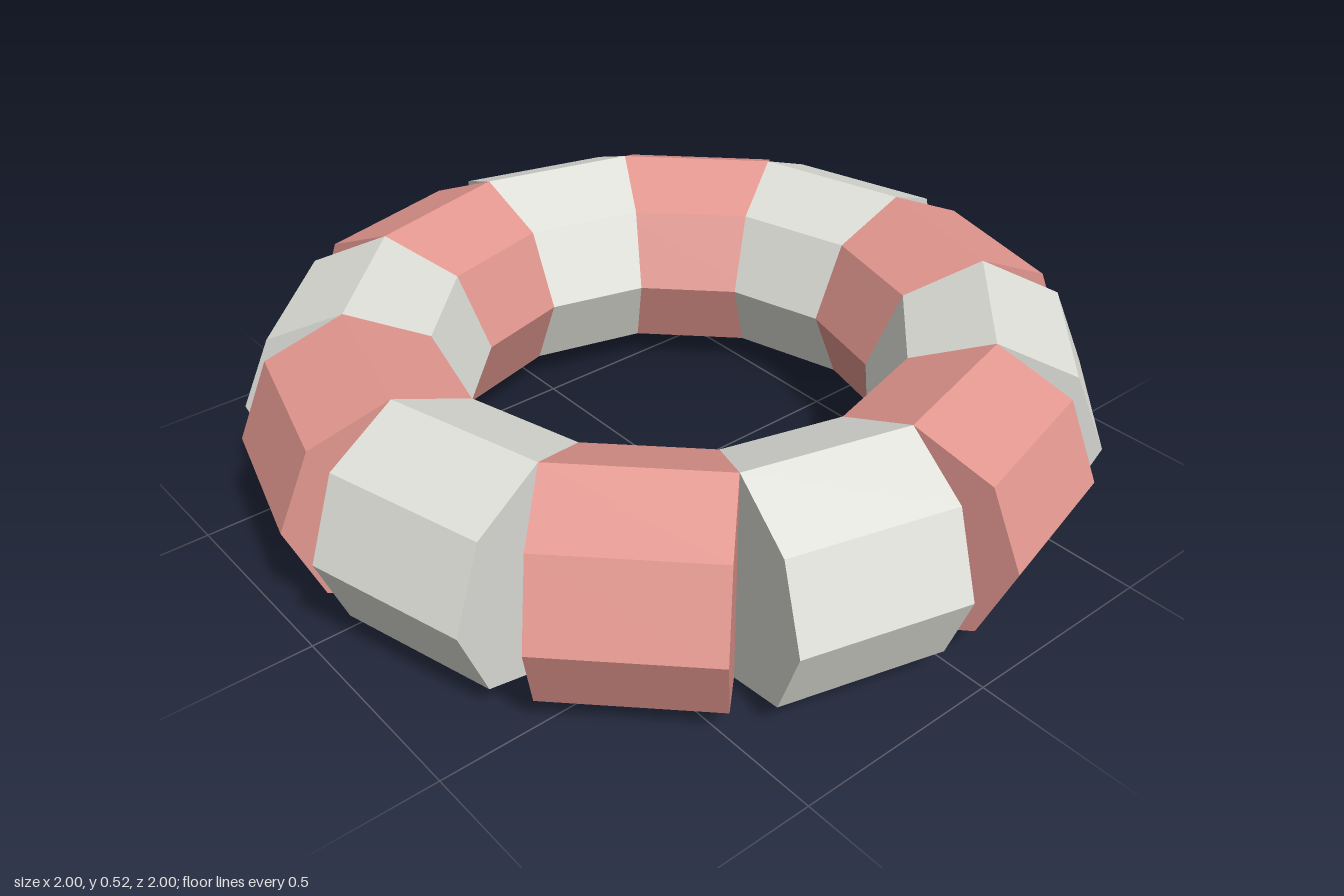
import * as THREE from 'three';

const COUNT = 12;
const TUBE_RADIUS = 0.261;
const RING_RADIUS = 0.723;
const SEGMENT_LENGTH = 2 * RING_RADIUS * Math.tan(Math.PI / COUNT);

export function createModel() {
  const model = new THREE.Group();
  model.name = 'ringFloat';

  const red = new THREE.MeshStandardMaterial({ color: 0xe2978f, flatShading: true });
  red.name = 'faded red';
  const white = new THREE.MeshStandardMaterial({ color: 0xdedfd8, flatShading: true });
  white.name = 'off white';

  // Straight eight-sided segments, axis along the tangent of the ring
  const segmentGeometry = new THREE.CylinderGeometry(TUBE_RADIUS, TUBE_RADIUS, SEGMENT_LENGTH, 8);
  segmentGeometry.rotateZ(Math.PI / 2);

  // Small pegs, axis pointing outward
  const pegGeometry = new THREE.CylinderGeometry(0.034, 0.034, 0.17, 6);
  pegGeometry.rotateX(Math.PI / 2);

  for (let i = 0; i < COUNT; i++) {
    const sector = new THREE.Group();
    sector.name = `sector${i + 1}`;
    sector.rotation.y = ((i + 0.5) / COUNT) * Math.PI * 2;
    model.add(sector);

    const segment = new THREE.Mesh(segmentGeometry, i % 2 ? white : red);
    segment.name = i % 2 ? 'whiteSegment' : 'redSegment';
    segment.position.set(0, TUBE_RADIUS, RING_RADIUS);
    sector.add(segment);

    // Pegs in the gaps on both sides of the back left red segment
    if (i === 4) {
      for (const side of [-1, 1]) {
        const peg = new THREE.Mesh(pegGeometry, white);
        peg.name = side > 0 ? 'backPeg' : 'sidePeg';
        peg.position.set(side * 0.216, 0.4, 0.793);
        sector.add(peg);
      }
    }
  }
  return model;
}
